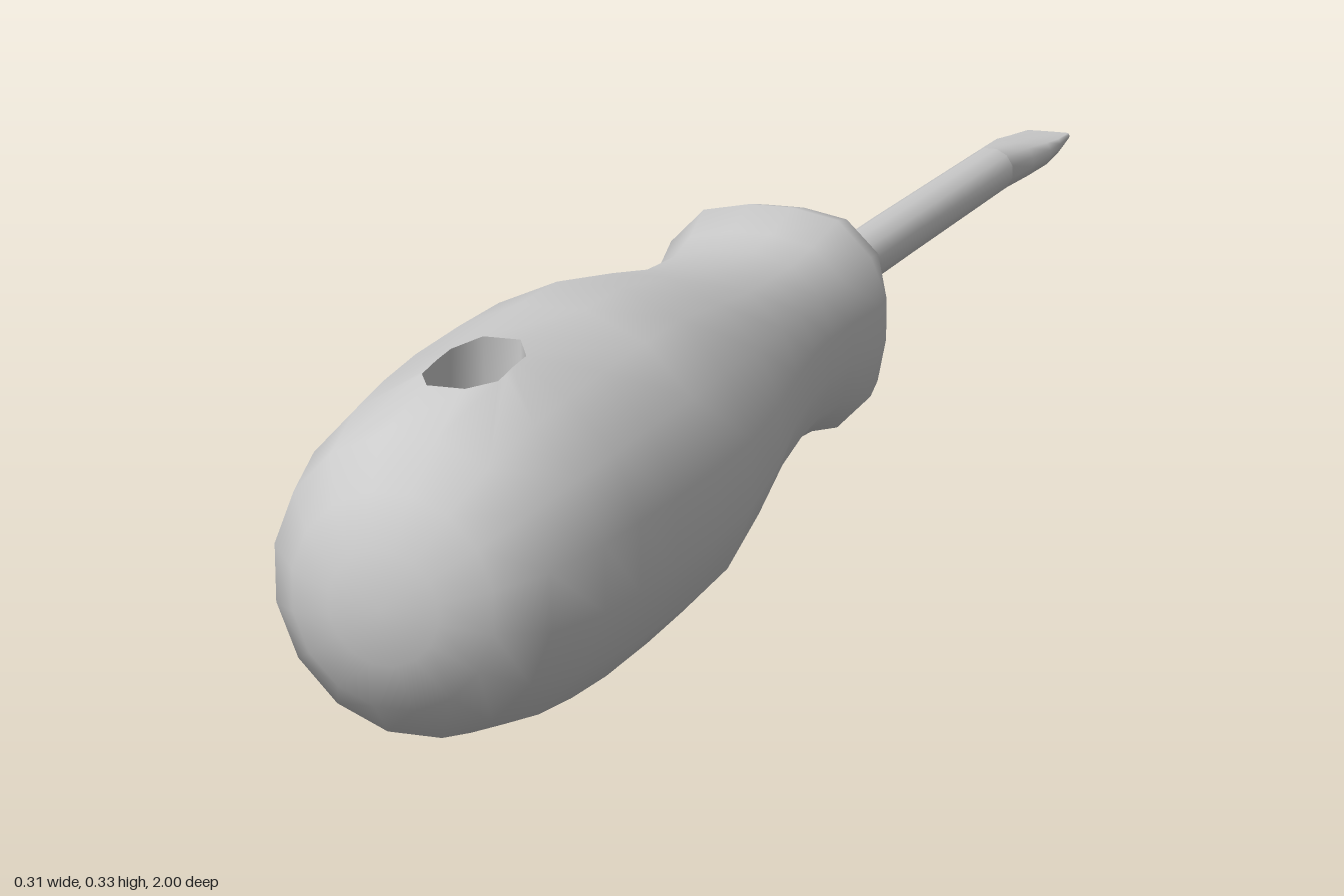
import * as THREE from 'three';
import { mergeVertices } from 'three/addons/utils/BufferGeometryUtils.js';

const CY = 0.166; // height of the tool's axis

// Ring of points around z; n = 2 is an ellipse, larger n is squarer
function ring([z, rx, ry, n = 2, cx = 0, cy = CY], sides) {
  return Array.from({ length: sides }, (_, j) => {
    const t = ((j + 0.5) / sides) * Math.PI * 2;
    const c = Math.cos(t), s = Math.sin(t);
    const f = (Math.abs(c) ** n + Math.abs(s) ** n) ** (-1 / n);
    return [cx + rx * c * f, cy + ry * s * f, z];
  });
}

// Triangles between consecutive rings running from +z to -z
function skin(rings, skip = () => false) {
  const tris = [];
  for (let i = 0; i < rings.length - 1; i++) {
    const n = rings[i].length;
    for (let j = 0; j < n; j++) {
      if (skip(i, j)) continue;
      const k = (j + 1) % n;
      const a = rings[i][j], b = rings[i][k], c = rings[i + 1][k], d = rings[i + 1][j];
      tris.push(a, d, b, b, d, c);
    }
  }
  return tris;
}

// Smooth mesh from triangle corners
function smoothMesh(name, tris) {
  let g = new THREE.BufferGeometry();
  g.setAttribute('position', new THREE.Float32BufferAttribute(tris.flat(), 3));
  g = mergeVertices(g, 1e-5);
  g.computeVertexNormals();
  const mesh = new THREE.Mesh(g, new THREE.MeshStandardMaterial({ color: 0xcccccc }));
  mesh.name = name;
  return mesh;
}

// Handle sections: z, rx, ry, squareness, centre x
const HANDLE = [
  [1, 0, 0],
  [0.994, 0.05, 0.05],
  [0.975, 0.092, 0.095],
  [0.935, 0.127, 0.132],
  [0.86, 0.146, 0.153],
  [0.795, 0.153, 0.161],
  [0.72, 0.158, 0.166],
  [0.62, 0.16, 0.167],
  [0.53, 0.159, 0.166],
  [0.4, 0.14, 0.143],
  [0.28, 0.118, 0.118, 2.2, -0.003],
  [0.2, 0.108, 0.107, 2.4, -0.005],
  [0.13, 0.103, 0.101, 2.6, -0.006],
  [0.07, 0.107, 0.105, 2.8, -0.009],
  [0.005, 0.117, 0.118, 3, -0.011],
  [-0.035, 0.111, 0.109, 3, -0.011],
  [-0.052, 0.094, 0.094, 2.8, -0.011],
  [-0.058, 0.07, 0.07, 2.4, -0.01],
  [-0.058, 0.041, 0.041, 2, -0.01],
];

// Half height of the handle at (x, z)
function halfHeight(x, z) {
  const i = HANDLE.findIndex((s) => s[0] <= z);
  const [a, b] = [HANDLE[i - 1], HANDLE[i]];
  const t = (a[0] - z) / (a[0] - b[0]);
  const rx = a[1] + (b[1] - a[1]) * t, ry = a[2] + (b[2] - a[2]) * t;
  return ry * Math.sqrt(1 - (x / rx) ** 2);
}

// Slot outline in (x, z): 3-sided round ends joined by straight sides
function slotOutline(rows) {
  const r = 0.035, z0 = 0.795, half = 0.031, pts = [];
  for (const e of [1, -1]) {
    for (let k = 0; k <= 3; k++) {
      const t = (k * Math.PI) / 3;
      pts.push([e * r * Math.cos(t), z0 + e * (half + r * Math.sin(t))]);
    }
    for (let k = 1; k < rows; k++) pts.push([-e * r, z0 + e * half * (1 - (2 * k) / rows)]);
  }
  return pts;
}

function createHandle() {
  const group = new THREE.Group();
  group.name = 'handle';
  const rings = HANDLE.map((s) => ring(s, 16));
  const i0 = 3, i1 = 7; // rows opened for the slot
  const outline = slotOutline(i1 - i0);
  const inSlot = (j) => (j >= 2 && j < 5) || (j >= 10 && j < 13);
  const tris = skin(rings, (i, j) => i >= i0 && i < i1 && inSlot(j));

  // Fill between the opened patch and the slot, on top and underneath
  for (const [j0, s] of [[2, 1], [10, -1]]) {
    const outer = [];
    for (let j = j0; j <= j0 + 3; j++) outer.push(rings[i0][j]);
    for (let i = i0 + 1; i < i1; i++) outer.push(rings[i][j0 + 3]);
    for (let j = j0 + 3; j >= j0; j--) outer.push(rings[i1][j]);
    for (let i = i1 - 1; i > i0; i--) outer.push(rings[i][j0]);
    const inner = outline.map(([x, z]) => [s * x, CY + s * halfHeight(x, z), z]);
    outer.forEach((a, k) => {
      const m = (k + 1) % outer.length;
      tris.push(a, inner[k], outer[m], outer[m], inner[k], inner[m]);
    });
  }
  group.add(smoothMesh('grip', tris));

  // Wall of the hanging slot
  const wall = [];
  const edge = (p, s) => [p[0], CY + s * halfHeight(p[0], p[1]), p[1]];
  outline.forEach((p, k) => {
    const q = outline[(k + 1) % outline.length];
    wall.push(edge(p, 1), edge(p, -1), edge(q, 1), edge(q, 1), edge(p, -1), edge(q, -1));
  });
  group.add(smoothMesh('hangingSlotWall', wall));

  // Recess around the shaft
  const recess = [
    [-0.058, 0.041, 0.041, 2, -0.01],
    [-0.035, 0.038, 0.038, 2, -0.01],
    [-0.03, 0, 0, 2, -0.01],
  ];
  group.add(smoothMesh('shaftRecess', skin(recess.map((s) => ring(s, 16)))));
  return group;
}

function createShaft() {
  const group = new THREE.Group();
  group.name = 'shaft';
  // Round rod, flattening into a flared blade
  const rod = [
    [-0.02, 0.029, 0.028, 2, -0.009, 0.167],
    [-0.4, 0.029, 0.0275, 2, -0.009, 0.162],
    [-0.76, 0.028, 0.027, 2, -0.008, 0.156],
  ].map((s) => ring(s, 12));
  const blade = [
    [-0.76, 0.028, 0.027, 2, -0.008, 0.156],
    [-0.83, 0.032, 0.021, 3, -0.008, 0.153],
    [-0.89, 0.036, 0.015, 5, -0.008, 0.151],
    [-0.94, 0.033, 0.009, 8, -0.007, 0.15],
    [-1, 0.027, 0.004, 12, -0.007, 0.149],
  ].map((s) => ring(s, 12));
  group.add(smoothMesh('rod', skin(rod)));
  group.add(smoothMesh('blade', skin(blade)));
  const tip = ring([-1, 0, 0, 2, -0.007, 0.149], 12);
  group.add(smoothMesh('bladeTip', skin([blade[4], tip])));
  return group;
}

export function createModel() {
  const model = new THREE.Group();
  model.name = 'screwdriver';
  model.add(createHandle(), createShaft());
  return model;
}
